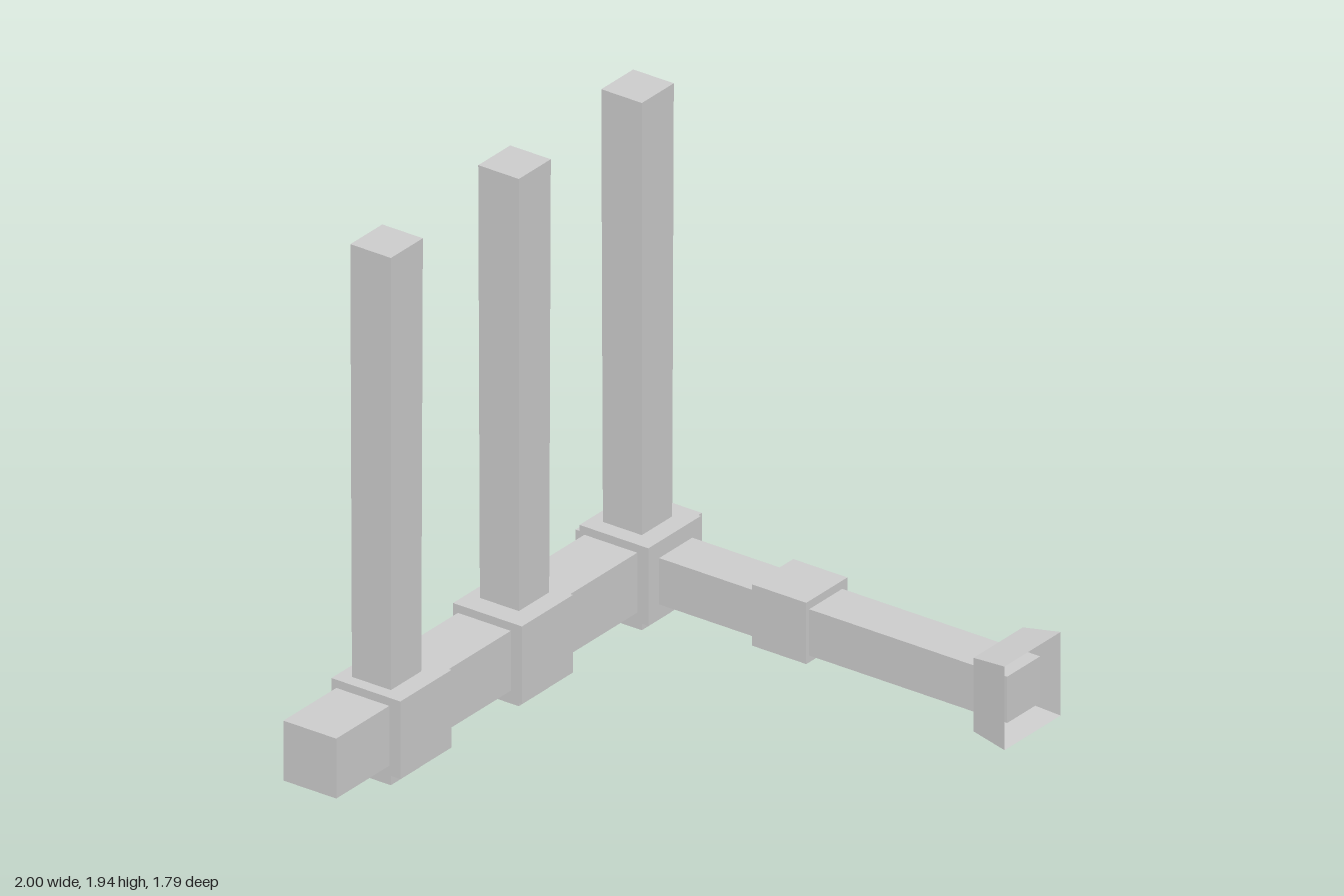
import * as THREE from 'three';

const material = new THREE.MeshStandardMaterial({ color: 0xcccccc, flatShading: true });
const openMaterial = new THREE.MeshStandardMaterial({ color: 0xcccccc, flatShading: true, side: THREE.DoubleSide });

// Box given by its lower and upper corners
function block(name, [x0, y0, z0], [x1, y1, z1]) {
  const geometry = new THREE.BoxGeometry(x1 - x0, y1 - y0, z1 - z0);
  const mesh = new THREE.Mesh(geometry, material);
  mesh.position.set((x0 + x1) / 2, (y0 + y1) / 2, (z0 + z1) / 2);
  mesh.name = name;
  return mesh;
}

// Square post, very slightly narrower at its foot
function post(x) {
  const mesh = block('post', [x - 0.0875, 0, -0.79], [x + 0.0875, 1.94, -0.625]);
  const p = mesh.geometry.attributes.position;
  for (let i = 0; i < p.count; i++) {
    if (p.getY(i) < 0) {
      p.setX(i, p.getX(i) * 0.94);
      p.setZ(i, p.getZ(i) * 0.95);
    }
  }
  mesh.geometry.computeVertexNormals();
  return mesh;
}

// Thin flared square cup, closed at the back and open to the front
function flaredCup() {
  const cup = new THREE.Group();
  cup.name = 'flaredCup';
  const back = 0.135, front = 0.1535, depth = 0.14;
  const walls = new THREE.CylinderGeometry(front * Math.SQRT2, back * Math.SQRT2, depth, 4, 1, true);
  walls.rotateY(Math.PI / 4).rotateX(Math.PI / 2);
  const wallMesh = new THREE.Mesh(walls, openMaterial);
  wallMesh.name = 'cupWalls';
  const floor = new THREE.Mesh(new THREE.PlaneGeometry(back * 2, back * 2), openMaterial);
  floor.position.z = -depth / 2;
  floor.name = 'cupFloor';
  cup.add(wallMesh, floor);
  cup.position.set(0.798, 0.21, 0.825);
  return cup;
}

export function createModel() {
  const model = new THREE.Group();
  model.name = 'postFrame';

  // Long beam along the back
  model.add(block('backBeam', [-1, 0.1, -0.815], [1, 0.32, -0.6]));

  // Three posts, each through a sleeve on the beam
  for (const [x, sleeveX0, sleeveX1] of [[-0.58, -0.71, -0.43], [0.12, -0.045, 0.235], [0.793, 0.647, 0.935]]) {
    model.add(post(x));
    model.add(block('sleeve', [sleeveX0, 0.065, -0.835], [sleeveX1, 0.35, -0.555]));
  }

  // Arm reaching forward, with its collar and flared end
  model.add(block('frontArm', [0.706, 0.12, -0.895], [0.887, 0.29, 0.86]));
  model.add(block('armCollar', [0.69, 0.095, -0.165], [0.915, 0.32, 0.055]));
  model.add(flaredCup());

  return model;
}
